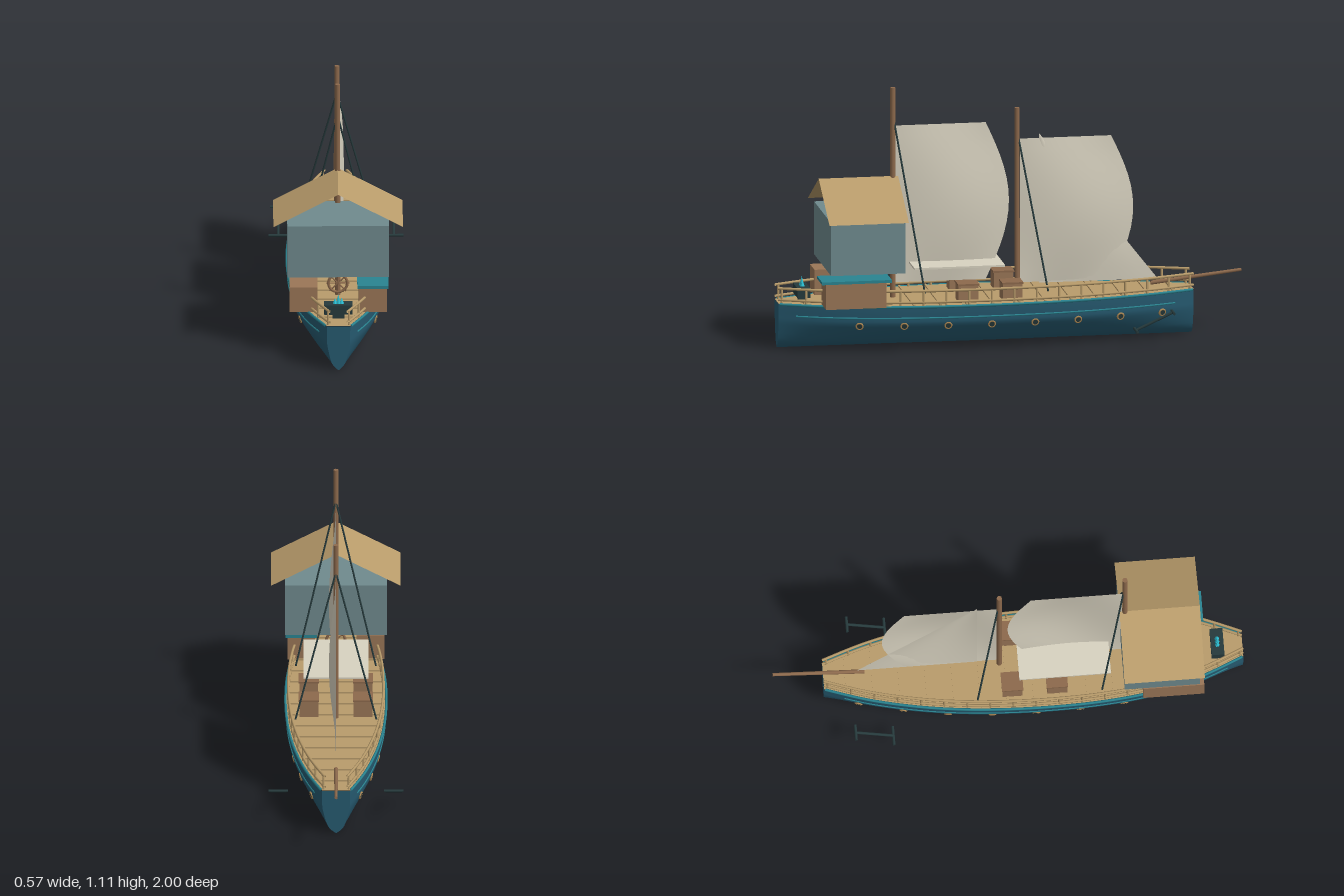
import * as THREE from 'three';

const mat = (name, color, side = THREE.FrontSide) => {
  const m = new THREE.MeshStandardMaterial({ color, side });
  m.name = name;
  return m;
};

export function createModel() {
  const root = new THREE.Group();
  root.name = 'sailingBoat';
  const M = {
    hull: mat('hullBlue', 0x265a70),
    trim: mat('tealTrim', 0x2a8491),
    tan: mat('deckTan', 0xb99c6b, THREE.DoubleSide),
    wood: mat('crateWood', 0x9a7657),
    mast: mat('mastBrown', 0x8c694c),
    sail: mat('canvas', 0xd8d2c0, THREE.DoubleSide),
    cabin: mat('cabinGrey', 0x6f8a8e),
    dark: mat('darkIron', 0x263a3c),
    glow: mat('cyanCrystal', 0x2cc0d4),
    brass: mat('brass', 0xb08a55),
  };
  const add = (name, geo, m, x = 0, y = 0, z = 0) => {
    const mesh = new THREE.Mesh(geo, m);
    mesh.name = name;
    mesh.position.set(x, y, z);
    root.add(mesh);
    return mesh;
  };
  const box = (name, m, w, h, d, x, y, z) => add(name, new THREE.BoxGeometry(w, h, d), m, x, y, z);
  const V = (x, y, z) => new THREE.Vector3(x, y, z);
  // Round bar between two points
  const rod = (name, m, a, b, r, r2 = r) => {
    const mesh = add(name, new THREE.CylinderGeometry(r2, r, a.distanceTo(b), 10), m);
    mesh.position.copy(a).lerp(b, 0.5);
    mesh.quaternion.setFromUnitVectors(V(0, 1, 0), b.clone().sub(a).normalize());
    return mesh;
  };

  // Plan outline: half width along z
  const plan = new THREE.SplineCurve([
    [-0.785, 0.06], [-0.6, 0.122], [-0.4, 0.168], [-0.2, 0.197], [0, 0.211],
    [0.2, 0.214], [0.4, 0.206], [0.6, 0.182], [0.8, 0.132], [1, 0.05],
  ].map(p => new THREE.Vector2(...p))).getPoints(54);
  const half = z => {
    let i = 0;
    while (i < plan.length - 2 && plan[i + 1].x < z) i++;
    const a = plan[i], b = plan[i + 1];
    return a.y + (b.y - a.y) * (z - a.x) / (b.x - a.x);
  };

  // Hull: one section scaled by the plan outline
  const side = new THREE.SplineCurve([[1, 0.2], [0.985, 0.155], [0.93, 0.11], [0.56, 0.034], [0, 0.002]]
    .map(p => new THREE.Vector2(...p))).getPoints(16);
  const section = [...side, ...side.slice(0, -1).reverse().map(p => new THREE.Vector2(-p.x, p.y))];
  const n = section.length, pos = [], idx = [];
  plan.forEach((p, i) => section.forEach((s, k) => {
    pos.push(s.x * p.y, s.y, p.x);
    if (i < plan.length - 1 && k < n - 1) {
      const a = i * n + k;
      idx.push(a, a + n, a + 1, a + 1, a + n, a + n + 1);
    }
  }));
  const hullGeo = new THREE.BufferGeometry();
  hullGeo.setAttribute('position', new THREE.Float32BufferAttribute(pos, 3));
  hullGeo.setIndex(idx);
  hullGeo.computeVertexNormals();
  add('hull', hullGeo, M.hull);
  const cap = w => new THREE.ShapeGeometry(new THREE.Shape(section.map(s => new THREE.Vector2(s.x * w, s.y))));
  add('transom', cap(0.05), M.hull, 0, 0, 1);
  add('bowPlate', cap(0.06), M.hull, 0, 0, -0.785).rotation.y = Math.PI;

  // Deck and cross beams
  const outline = [...plan.map(p => new THREE.Vector2(p.y, -p.x)),
    ...[...plan].reverse().map(p => new THREE.Vector2(-p.y, -p.x))];
  const deck = new THREE.ShapeGeometry(new THREE.Shape(outline));
  deck.rotateX(-Math.PI / 2);
  add('deck', deck, M.tan, 0, 0.202, 0);
  for (let z = -0.69; z < 0.95; z += 0.113) box('deckBeam', M.tan, 2 * half(z) - 0.02, 0.006, 0.008, 0, 0.205, z);

  // Lines that follow the hull side
  const along = (name, m, s, inset, k, y, z0, z1, r) => {
    const pts = [];
    for (let i = 0; i <= 30; i++) {
      const z = z0 + (z1 - z0) * i / 30;
      pts.push(V(s * (half(z) * k - inset), y, z));
    }
    add(name, new THREE.TubeGeometry(new THREE.CatmullRomCurve3(pts), 60, r, 6), m);
  };
  for (const s of [-1, 1]) {
    along('gunwale', M.trim, s, 0, 1, 0.199, -0.78, 0.995, 0.006);
    along('hullStripe', M.trim, s, 0, 0.984, 0.15, -0.7, 0.93, 0.004);
    along('handrail', M.tan, s, 0.012, 1, 0.266, -0.785, 1, 0.006);
    along('lowerRail', M.tan, s, 0.012, 1, 0.217, -0.785, 1, 0.006);
    for (let i = 0; i <= 18; i++) {
      const z = -0.77 + i * 0.0975, x = s * (half(z) - 0.012);
      rod('railPost', M.tan, V(x, 0.2, z), V(x, 0.266, z), 0.005);
    }
    // Portholes
    for (let i = 0; i < 8; i++) {
      const z = 0.67 - i * 0.1875, slope = (half(z + 0.02) - half(z - 0.02)) / 0.04;
      const port = new THREE.Group();
      port.name = 'porthole';
      const ring = new THREE.Mesh(new THREE.TorusGeometry(0.0135, 0.004, 8, 20), M.brass);
      ring.name = 'portholeRing';
      const pane = new THREE.Mesh(new THREE.CylinderGeometry(0.0125, 0.0125, 0.006, 20).rotateX(Math.PI / 2), M.dark);
      pane.name = 'portholePane';
      port.add(ring, pane);
      port.position.set(s * (half(z) * 0.942 + 0.002), 0.115, z);
      port.lookAt(port.position.clone().add(V(s, -0.25, -slope)));
      root.add(port);
    }
    // Anchors
    const x = s * 0.245;
    rod('anchorShank', M.dark, V(x, 0.073, -0.505), V(x, 0.145, -0.665), 0.006);
    rod('anchorFluke', M.dark, V(x - 0.042, 0.073, -0.505), V(x + 0.042, 0.073, -0.505), 0.006);
    rod('anchorStock', M.dark, V(x - 0.034, 0.145, -0.665), V(x + 0.034, 0.145, -0.665), 0.006);
    // Deck crates and stern lockers
    for (const z of [0.01, 0.2]) {
      box('crate', M.wood, 0.08, 0.072, 0.085, s * 0.115, 0.238, z);
      box('crateLid', M.mast, 0.086, 0.008, 0.091, s * 0.115, 0.277, z);
    }
    box('locker', M.wood, 0.118, 0.11, 0.26, s * 0.147, 0.257, 0.692);
    // Shrouds
    rod('mainShroud', M.dark, V(0, 0.97, 0.495), V(s * 0.17, 0.25, 0.39), 0.004);
    rod('foreShroud', M.dark, V(0, 0.88, -0.04), V(s * 0.172, 0.24, -0.14), 0.004);
  }
  box('lockerLid', M.trim, 0.132, 0.012, 0.3, 0.147, 0.318, 0.69);

  // Masts and bowsprit
  rod('mainMast', M.mast, V(0, 0.2, 0.5), V(0, 1.113, 0.5), 0.012, 0.011);
  rod('foreMast', M.mast, V(0, 0.2, -0.035), V(0, 1.005, -0.035), 0.012, 0.011);
  rod('bowsprit', M.mast, V(0, 0.222, -0.61), V(0, 0.265, -1), 0.009, 0.007);

  // Sails: grids with a rounded leech and a bellied middle
  const sail = (name, z0, z1, y0, y1, bulge) => {
    const g = new THREE.PlaneGeometry(1, 1, 14, 14), p = g.attributes.position;
    for (let i = 0; i < p.count; i++) {
      const u = p.getX(i) + 0.5, v = p.getY(i) + 0.5, b = Math.sin(Math.PI * v);
      p.setXYZ(i, 0.03 * Math.sin(Math.PI * u) * b, y0 + (y1 - y0) * v, z0 + (z1 - bulge * b - z0) * u);
    }
    g.computeVertexNormals();
    add(name, g, M.sail);
  };
  sail('mainSail', 0.488, 0.1, 0.265, 0.947, 0.1);
  sail('foreSail', -0.047, -0.44, 0.245, 0.87, 0.095);
  const jib = new THREE.PlaneGeometry(1, 1, 10, 12), jp = jib.attributes.position;
  for (let i = 0; i < jp.count; i++) {
    const u = jp.getX(i) + 0.5, v = jp.getY(i) + 0.5;
    jp.setXYZ(i, 0.015 * Math.sin(Math.PI * u) * Math.sin(Math.PI * v), 0.24 + 0.65 * v, -0.13 - 0.51 * u * (1 - v));
  }
  jib.computeVertexNormals();
  add('jib', jib, M.sail);
  box('awning', M.sail, 0.275, 0.008, 0.39, 0, 0.35, 0.235);

  // Raised cabin with an open gable roof
  box('cabin', M.cabin, 0.432, 0.23, 0.32, 0, 0.466, 0.642);
  for (const s of [-1, 1]) {
    const roof = new THREE.PlaneGeometry(Math.hypot(0.275, 0.145), 0.342);
    roof.rotateX(-Math.PI / 2);
    add('roofSlope', roof, M.tan, s * 0.1375, 0.6555, 0.648).rotation.z = -s * Math.atan2(0.145, 0.275);
  }

  // Helm
  rod('helmPost', M.mast, V(0, 0.2, 0.6), V(0, 0.3, 0.6), 0.012);
  add('helmWheel', new THREE.TorusGeometry(0.04, 0.006, 8, 24), M.mast, 0, 0.262, 0.625);
  for (let i = 0; i < 4; i++) {
    const a = i * Math.PI / 4, dx = 0.05 * Math.cos(a), dy = 0.05 * Math.sin(a);
    rod('helmSpoke', M.mast, V(-dx, 0.262 - dy, 0.625), V(dx, 0.262 + dy, 0.625), 0.003);
  }
  rod('helmBar', M.dark, V(-0.042, 0.316, 0.6), V(0.042, 0.316, 0.6), 0.003);

  // Crystal console at the stern
  box('consoleFoot', M.dark, 0.05, 0.03, 0.03, 0, 0.215, 0.892);
  box('console', M.dark, 0.12, 0.042, 0.055, 0, 0.245, 0.892);
  for (const [x, h] of [[0, 0.042], [-0.014, 0.024], [0.014, 0.026]]) {
    const c = new THREE.ConeGeometry(0.011, h, 6).toNonIndexed();
    c.computeVertexNormals();
    add('crystal', c, M.glow, x, 0.265 + h / 2, 0.892);
  }
  return root;
}
